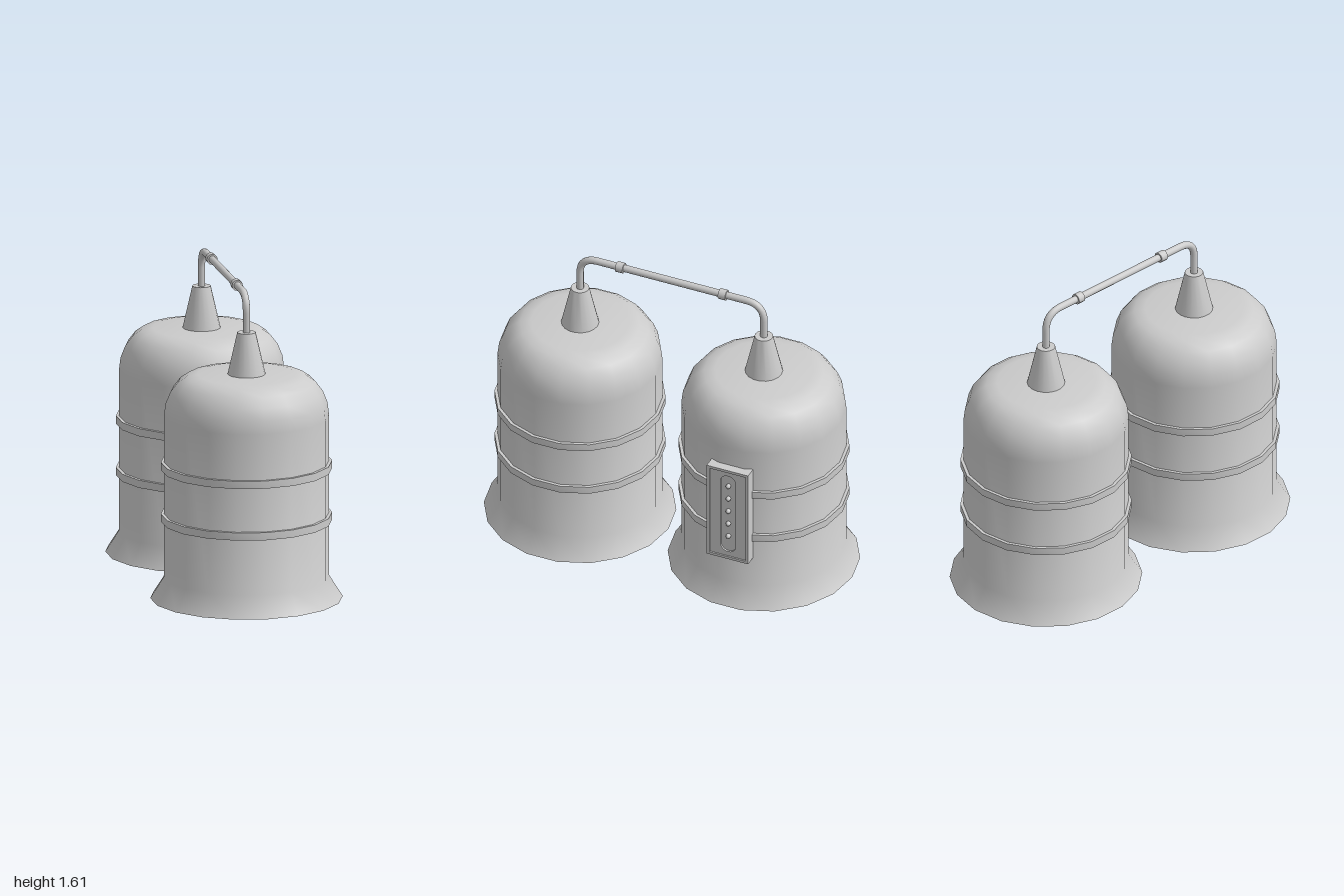
import * as THREE from 'three';
import { toCreasedNormals } from 'three/addons/utils/BufferGeometryUtils.js';

const SIDES = 18;
const TANK_Z = 0.51;
const material = new THREE.MeshStandardMaterial({ color: 0xcccccc });

function add(parent, name, geometry, x = 0, y = 0, z = 0) {
  const mesh = new THREE.Mesh(geometry, material);
  mesh.name = name;
  mesh.position.set(x, y, z);
  parent.add(mesh);
  return mesh;
}

// Turned part from [radius, height] pairs, running up the outside
function turned(points, crease = 0.7) {
  const profile = points.map(([r, y]) => new THREE.Vector2(r, y));
  return toCreasedNormals(new THREE.LatheGeometry(profile, SIDES), crease);
}

// Upright rounded rectangle centred on the origin
function rounded(target, w, h, r) {
  const x = w / 2 - r, y = h / 2 - r;
  target.absarc(x, y, r, 0, Math.PI / 2);
  target.absarc(-x, y, r, Math.PI / 2, Math.PI);
  target.absarc(-x, -y, r, Math.PI, Math.PI * 1.5);
  target.absarc(x, -y, r, Math.PI * 1.5, Math.PI * 2);
  target.closePath();
  return target;
}

function rectangle(target, w, h) {
  target.moveTo(-w / 2, -h / 2);
  target.lineTo(w / 2, -h / 2);
  target.lineTo(w / 2, h / 2);
  target.lineTo(-w / 2, h / 2);
  target.closePath();
  return target;
}

// Extruded plate turned to face +x
function plate(shape, depth) {
  return new THREE.ExtrudeGeometry(shape, { depth, bevelEnabled: false, curveSegments: 8 })
    .rotateY(Math.PI / 2);
}

function createTank(name, z) {
  const tank = new THREE.Group();
  tank.name = name;
  tank.position.z = z;

  // Flared foot, straight wall and domed shoulder
  add(tank, 'tankBody', turned([
    [0, 0], [0.49, 0], [0.42, 0.11], [0.42, 0.95], [0.412, 1.015], [0.388, 1.075],
    [0.35, 1.125], [0.305, 1.156], [0.25, 1.167], [0, 1.168],
  ]));

  // Hoops
  for (const y of [0.42, 0.69]) {
    add(tank, 'hoop', turned([
      [0.415, -0.02], [0.436, -0.02], [0.436, 0.02], [0.415, 0.02],
    ]), 0, y);
  }

  // Conical neck
  add(tank, 'neck', turned([[0.097, 1.165], [0.047, 1.385], [0, 1.385]]));
  return tank;
}

function createPanel() {
  const panel = new THREE.Group();
  panel.name = 'controlPanel';
  panel.position.set(0, 0.565, -TANK_Z);
  const w = 0.23, h = 0.56;

  // Backing box, raised rim and slotted face
  add(panel, 'panelBack', new THREE.BoxGeometry(0.06, h, w), 0.413);
  const rim = rectangle(new THREE.Shape(), w, h);
  rim.holes.push(rectangle(new THREE.Path(), w - 0.03, h - 0.03));
  add(panel, 'panelRim', plate(rim, 0.019), 0.442);
  const face = rectangle(new THREE.Shape(), w - 0.03, h - 0.03);
  face.holes.push(rounded(new THREE.Path(), 0.084, 0.476, 0.04));
  add(panel, 'panelFace', plate(face, 0.011), 0.442, 0.0);

  // Column of buttons
  for (let i = 0; i < 5; i++) {
    const button = add(panel, 'button', new THREE.SphereGeometry(0.013, 12, 8),
      0.45, -0.143 + i * 0.079);
    button.scale.x = 1.15;
  }
  return panel;
}

function createPipe() {
  const pipe = new THREE.Group();
  pipe.name = 'connectingPipe';
  const top = 1.58, bend = 0.1;
  const v = (y, z) => new THREE.Vector3(0, y, z);

  // Pipe rises from one neck, crosses over and drops into the other
  const path = new THREE.CurvePath();
  path.add(new THREE.LineCurve3(v(1.37, TANK_Z), v(top - bend, TANK_Z)));
  path.add(new THREE.QuadraticBezierCurve3(
    v(top - bend, TANK_Z), v(top, TANK_Z), v(top, TANK_Z - bend)));
  path.add(new THREE.LineCurve3(v(top, TANK_Z - bend), v(top, bend - TANK_Z)));
  path.add(new THREE.QuadraticBezierCurve3(
    v(top, bend - TANK_Z), v(top, -TANK_Z), v(top - bend, -TANK_Z)));
  path.add(new THREE.LineCurve3(v(top - bend, -TANK_Z), v(1.37, -TANK_Z)));
  add(pipe, 'pipe', new THREE.TubeGeometry(path, 72, 0.019, 12));

  // Collars
  for (const z of [-0.285, 0.285]) {
    add(pipe, 'collar', new THREE.CylinderGeometry(0.028, 0.028, 0.04, 12).rotateX(Math.PI / 2),
      0, top, z);
  }
  return pipe;
}

export function createModel() {
  const model = new THREE.Group();
  model.name = 'twinTanks';
  model.add(
    createTank('frontTank', TANK_Z),
    createTank('backTank', -TANK_Z),
    createPanel(),
    createPipe(),
  );
  return model;
}
